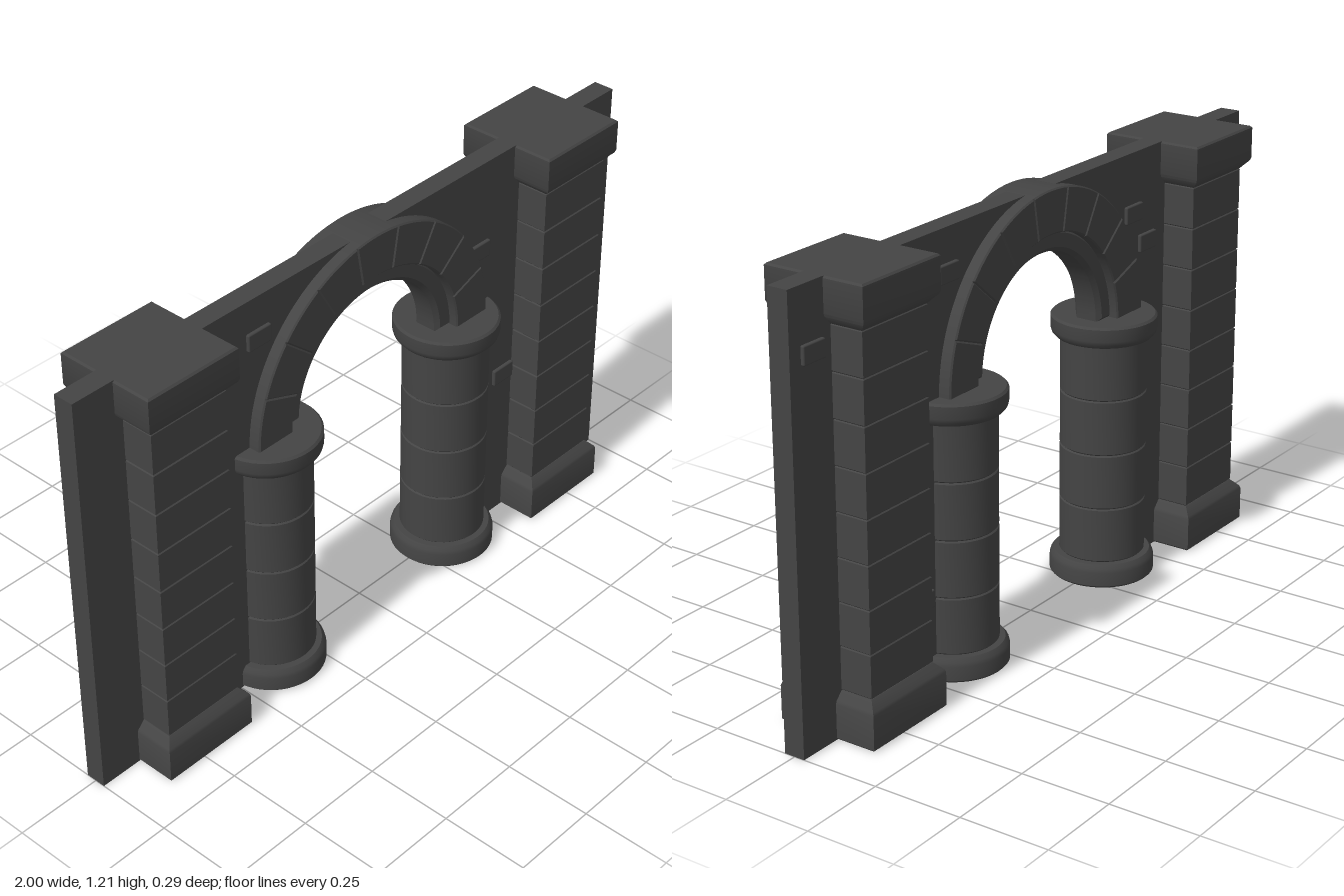
import * as THREE from 'three';
import { toCreasedNormals } from 'three/addons/utils/BufferGeometryUtils.js';
import { RoundedBoxGeometry } from 'three/addons/geometries/RoundedBoxGeometry.js';

const stone = new THREE.MeshStandardMaterial({ color: 0x444444 });
const SPRING = 0.765; // height where the arch starts

function add(parent, name, geometry, x = 0, y = 0, z = 0) {
  const mesh = new THREE.Mesh(geometry, stone);
  mesh.name = name;
  mesh.position.set(x, y, z);
  parent.add(mesh);
  return mesh;
}

// Turned solid from [radius, y] pairs, bottom to top
function turned(profile, segments = 48) {
  const pts = profile.map(([r, y]) => new THREE.Vector2(r, y));
  return toCreasedNormals(new THREE.LatheGeometry(pts, segments), 0.5);
}

// Square solid from [half width, y] pairs
function square(profile) {
  const g = turned(profile.map(([r, y]) => [r * Math.SQRT2, y]), 4);
  return g.rotateY(Math.PI / 4);
}

// Stacked courses with a small chamfer at each joint
function courses(r, y0, y1, count, c) {
  const h = (y1 - y0) / count;
  const profile = [[0, y0]];
  for (let i = 0; i < count; i++) {
    const a = y0 + i * h, b = a + h;
    profile.push([r - c, a], [r, a + c], [r, b - c], [r - c, b]);
  }
  profile.push([0, y1]);
  return profile;
}

// Ring sector extruded along z and centred on z = 0
function sector(r0, r1, a0, a1, depth, bevel, curveSegments) {
  const s = new THREE.Shape();
  const i = bevel / r0, o = bevel / r1;
  s.absarc(0, 0, r1 - bevel, a0 + o, a1 - o, false);
  s.absarc(0, 0, r0 + bevel, a1 - i, a0 + i, true);
  s.closePath();
  const g = new THREE.ExtrudeGeometry(s, {
    depth: depth - 2 * bevel, curveSegments,
    bevelEnabled: true, bevelSize: bevel, bevelThickness: bevel, bevelSegments: 1,
  });
  g.translate(0, 0, bevel - depth / 2);
  return toCreasedNormals(g, 0.4);
}

function createModel() {
  const model = new THREE.Group();
  model.name = 'stoneArchway';

  // Wall with an arched opening down to the ground
  const r = 0.285;
  const outline = new THREE.Shape();
  outline.moveTo(-1, 0);
  outline.lineTo(-r, 0);
  outline.lineTo(-r, SPRING);
  outline.absarc(0, SPRING, r, Math.PI, 0, true);
  outline.lineTo(r, 0);
  outline.lineTo(1, 0);
  outline.lineTo(1, 1.2);
  outline.lineTo(-1, 1.2);
  const wall = new THREE.ExtrudeGeometry(outline, { depth: 0.06, bevelEnabled: false, curveSegments: 40 });
  wall.translate(0, 0, -0.03);
  add(model, 'wall', toCreasedNormals(wall, 0.4));

  // Arch: nine wedge stones over a narrower inner band
  const arch = new THREE.Group();
  arch.name = 'arch';
  arch.position.y = SPRING;
  model.add(arch);
  const step = Math.PI / 9;
  for (let i = 0; i < 9; i++) {
    add(arch, 'archStone', sector(0.318, 0.44, i * step, (i + 1) * step, 0.13, 0.004, 8));
  }
  add(arch, 'archInnerBand', sector(0.263, 0.325, 0, Math.PI, 0.085, 0.012, 48));

  for (const side of [-1, 1]) {
    // Round column
    const column = new THREE.Group();
    column.name = side > 0 ? 'leftColumn' : 'rightColumn';
    column.position.x = side * 0.35;
    model.add(column);
    add(column, 'columnBase', turned([[0, 0], [0.141, 0], [0.147, 0.006], [0.147, 0.045],
      [0.144, 0.056], [0.135, 0.067], [0, 0.067]]));
    add(column, 'columnShaft', turned(courses(0.12, 0.067, 0.706, 4, 0.004)));
    add(column, 'columnCapital', turned([[0, 0.706], [0.134, 0.706], [0.144, 0.717], [0.147, 0.728],
      [0.147, 0.762], [0.141, 0.768], [0, 0.768]]));

    // Square pier
    const pier = new THREE.Group();
    pier.name = side > 0 ? 'leftPier' : 'rightPier';
    pier.position.x = side * 0.727;
    model.add(pier);
    add(pier, 'pierBase', square([[0, 0], [0.142, 0], [0.147, 0.005], [0.147, 0.098],
      [0.144, 0.106], [0.123, 0.128], [0, 0.128]]));
    add(pier, 'pierShaft', square(courses(0.124, 0.128, 1.078, 8, 0.003)));
    add(pier, 'pierCap', square([[0, 1.078], [0.123, 1.078], [0.144, 1.1], [0.147, 1.108],
      [0.147, 1.195], [0.142, 1.2], [0, 1.2]]));
  }

  // Loose bricks standing proud of the wall: x, y, face
  const bricks = [
    [-0.4, 1.083, 1], [-0.562, 0.575, 1], [0.44, 0.935, 1], [0.56, 0.478, 1],
    [0.4, 1.083, -1], [0.52, 0.235, -1], [-0.44, 1.03, -1], [-0.51, 0.935, -1], [0.92, 1.03, -1],
  ];
  for (const [x, y, face] of bricks) {
    add(model, 'wallBrick', new RoundedBoxGeometry(0.08, 0.05, 0.03, 1, 0.004), x, y, face * 0.025);
  }
  return model;
}

export { createModel };
